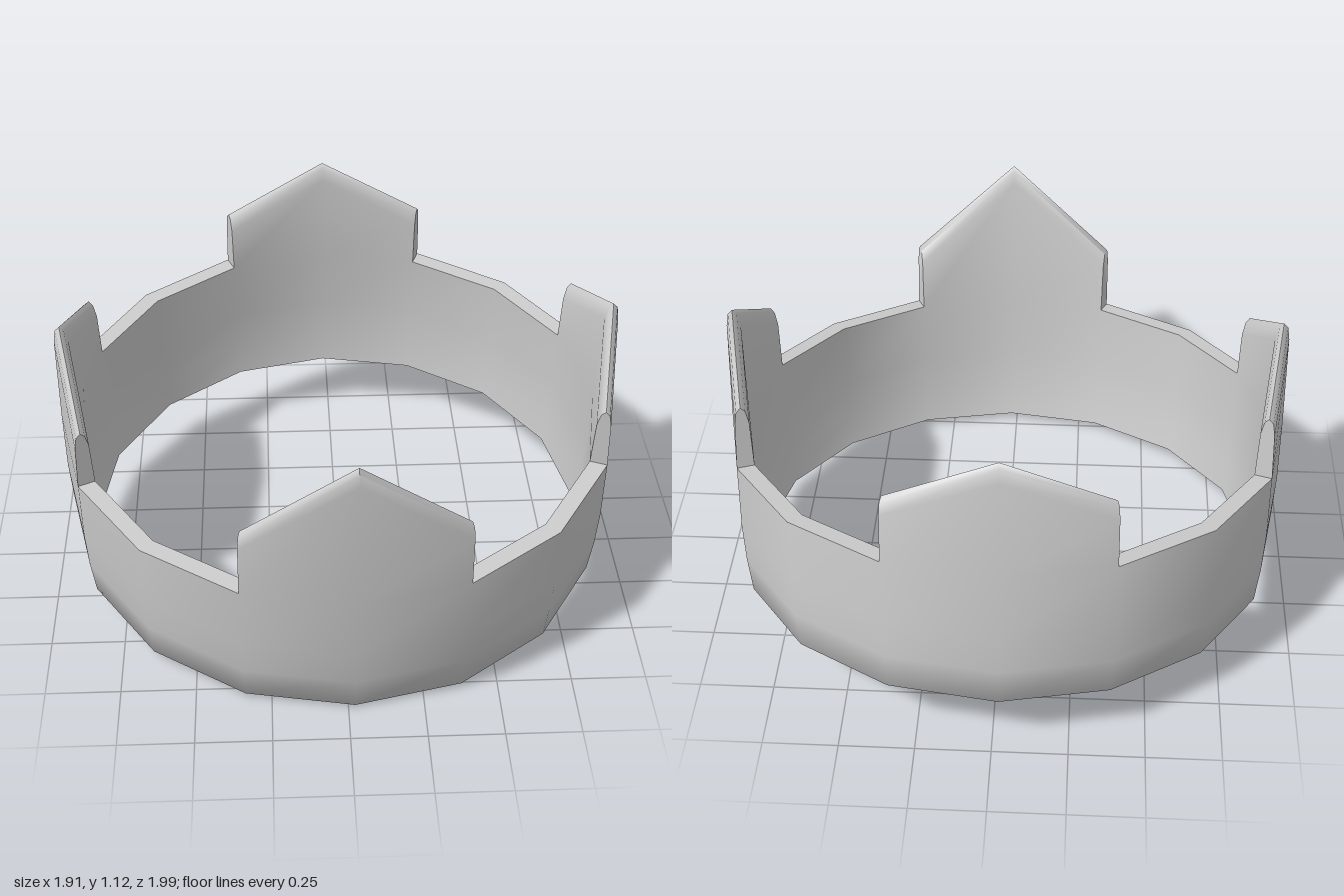
import * as THREE from 'three';
import { toCreasedNormals } from 'three/addons/utils/BufferGeometryUtils.js';

const SIDES = 16;
const BAND_TOP = 0.51;

// Wall cross-section as [radius, height]: outside going up, inside going down
const OUTER = [[0.915, 0], [0.934, 0.012], [0.949, 0.14], [0.957, 0.28], [0.957, BAND_TOP]];
const INNER = [[0.897, BAND_TOP], [0.897, 0.28], [0.889, 0.14], [0.872, 0.015]];

// Rounded lip that closes a raised point at the given height
const lip = (h) => [
  [0.952, h - 0.06], [0.945, h - 0.015], [0.93, h], [0.915, h - 0.015], [0.904, h - 0.06],
];

// Four points: front, left, back, right
const POINTS = [
  { tip: 1.06, shoulder: 0.755 },
  { tip: 0.91, shoulder: 0.735 },
  { tip: 0.905, shoulder: 0.735 },
  { tip: 0.895, shoulder: 0.73 },
];

function createShell() {
  const pos = [];
  const place = (column, [r, h]) => {
    const a = (column / SIDES) * Math.PI * 2;
    return [r * Math.sin(a), h, r * Math.cos(a)];
  };
  const tri = (a, b, c) => pos.push(...a, ...b, ...c);

  // One facet of wall between two neighbouring columns
  const facet = (c0, capA, capB) => {
    const c1 = (c0 + 1) % SIDES;
    const A = [...OUTER, ...capA, ...INNER].map((p) => place(c0, p));
    const B = [...OUTER, ...capB, ...INNER].map((p) => place(c1, p));
    for (let k = 0; k < A.length; k++) {
      const n = (k + 1) % A.length;
      tri(A[k], B[k], B[n]);
      tri(A[k], B[n], A[n]);
    }
  };

  // Upright end face of a raised point
  const endFace = (column, height, flip) => {
    const ring = [OUTER.at(-1), ...lip(height), INNER[0]].map((p) => place(column, p));
    for (let k = 1; k < ring.length - 1; k++) {
      if (flip) tri(ring[0], ring[k + 1], ring[k]);
      else tri(ring[0], ring[k], ring[k + 1]);
    }
  };

  POINTS.forEach(({ tip, shoulder }, i) => {
    const mid = i * 4;
    const start = (mid + SIDES - 1) % SIDES;
    // the two raised facets
    facet(start, lip(shoulder), lip(tip));
    facet(mid, lip(tip), lip(shoulder));
    endFace(start, shoulder, false);
    endFace(mid + 1, shoulder, true);
    // the two low facets up to the next point
    facet(mid + 1, [], []);
    facet(mid + 2, [], []);
  });

  const geometry = new THREE.BufferGeometry();
  geometry.setAttribute('position', new THREE.Float32BufferAttribute(pos, 3));
  return toCreasedNormals(geometry, 1.0);
}

export function createModel() {
  const group = new THREE.Group();
  group.name = 'crown';

  // Band and points form one continuous shell, tipped forward
  const shell = new THREE.Mesh(
    createShell(),
    new THREE.MeshStandardMaterial({ color: 0xcccccc }),
  );
  shell.name = 'crownBandWithPoints';
  shell.rotation.set(0.119, 0.024, 0);
  shell.position.set(0, 0.111, -0.073);
  group.add(shell);

  return group;
}
